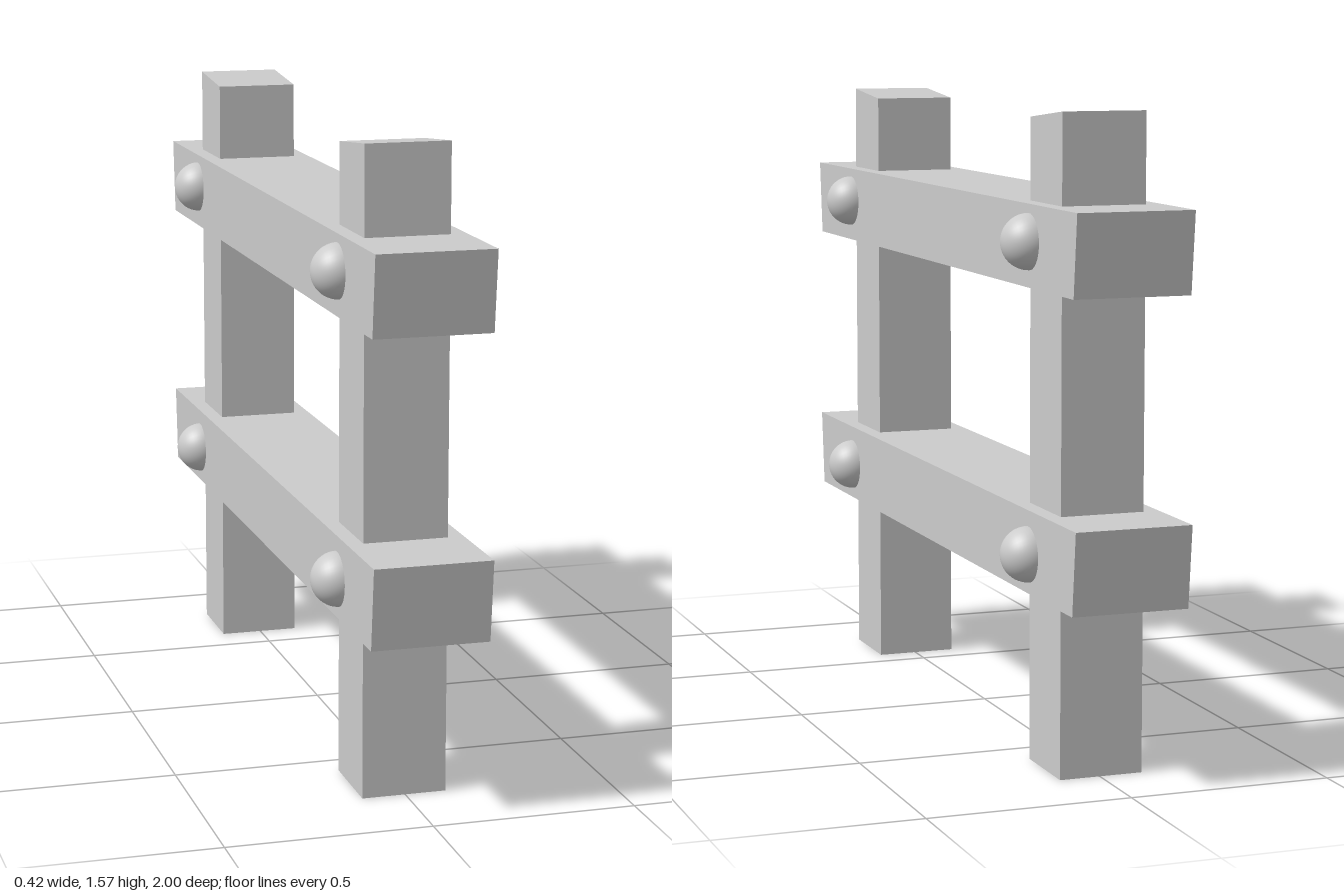
import * as THREE from 'three';

const material = new THREE.MeshStandardMaterial({ color: 0xcccccc });

// Beam whose side outline is given as [z, y] corners, extruded across x
function beam(name, corners, width) {
  const shape = new THREE.Shape(corners.map(([z, y]) => new THREE.Vector2(z, y)));
  const geometry = new THREE.ExtrudeGeometry(shape, { depth: width, bevelEnabled: false });
  geometry.translate(0, 0, -width / 2).rotateY(-Math.PI / 2);
  const mesh = new THREE.Mesh(geometry, material);
  mesh.name = name;
  mesh.position.x = -0.003;
  return mesh;
}

export function createModel() {
  const group = new THREE.Group();
  group.name = 'fence';

  // Posts, tops sloping down towards the middle
  group.add(beam('frontPost', [[0.575, 0], [0.78, 0], [0.78, 1.57], [0.575, 1.55]], 0.208));
  group.add(beam('backPost', [[-0.805, 0], [-0.6, 0], [-0.6, 1.55], [-0.805, 1.57]], 0.208));

  // Rails with undercut ends
  const rails = [['lower', 0.43, 0.63, 0.525], ['upper', 1.157, 1.353, 1.265]];
  const dome = new THREE.SphereGeometry(0.067, 32, 12, 0, Math.PI * 2, 0, Math.PI / 2);
  for (const [level, bottom, top, pegY] of rails) {
    group.add(beam(level + 'Rail', [[-0.98, bottom], [0.98, bottom], [1, top], [-1, top]], 0.288));

    // Domed pegs on both sides of each joint
    for (const side of [-1, 1]) {
      for (const z of [-0.697, 0.697]) {
        const peg = new THREE.Mesh(dome, material);
        peg.name = level + 'Peg';
        peg.rotation.z = -side * Math.PI / 2;
        peg.position.set(side * 0.143 - 0.001, pegY, z);
        group.add(peg);
      }
    }
  }
  return group;
}
